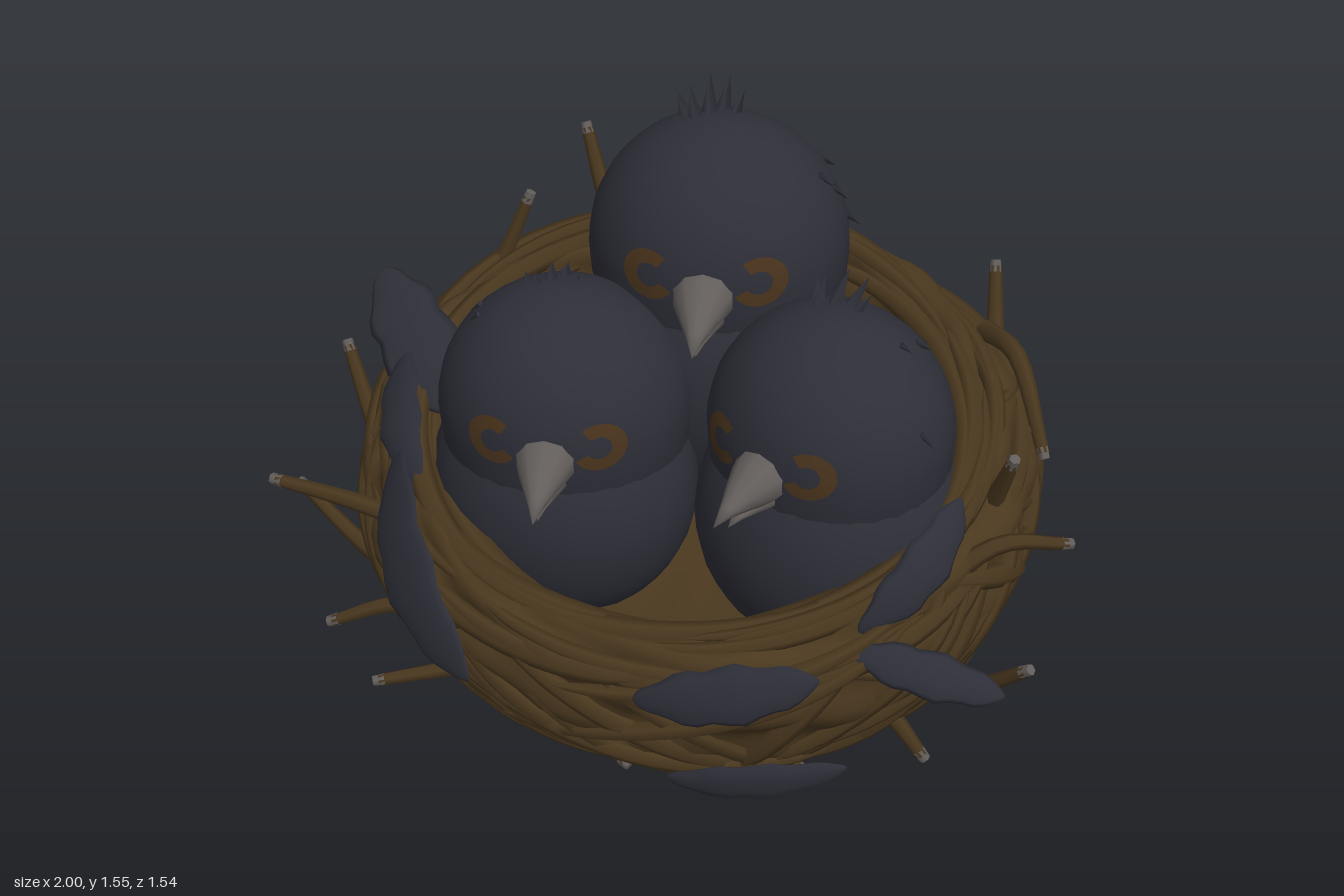
import * as THREE from 'three';
import { mergeVertices } from 'three/addons/utils/BufferGeometryUtils.js';

const mat = (name, color, side = THREE.FrontSide) =>
  Object.assign(new THREE.MeshStandardMaterial({ color, side }), { name });
const V = (x, y, z) => new THREE.Vector3(x, y, z);

export function createModel() {
  const plumage = mat('dark plumage', 0x2d2e37);
  const wood = mat('brown twig', 0x49371e, THREE.DoubleSide);
  const horn = mat('grey beak', 0x625d5b);
  const iris = mat('amber eye', 0x49331c);

  let seed = 7;
  const rnd = (a = 0, b = 1) => {
    seed = (seed * 16807) % 2147483647;
    return a + (b - a) * (seed / 2147483647);
  };
  const model = new THREE.Group();
  const add = (parent, name, geo, material) => {
    const m = new THREE.Mesh(geo, material);
    m.name = name;
    parent.add(m);
    return m;
  };
  // Move every vertex by a rule, then smooth the surface again
  const warp = (geo, rule) => {
    const p = geo.attributes.position, v = V(0, 0, 0);
    for (let i = 0; i < p.count; i++) {
      rule(v.fromBufferAttribute(p, i));
      p.setXYZ(i, v.x, v.y, v.z);
    }
    geo.deleteAttribute('normal');
    geo.deleteAttribute('uv');
    const out = mergeVertices(geo, 1e-5);
    out.computeVertexNormals();
    return out;
  };
  // Tube whose radius runs along a taper function
  const branch = (points, radius, taper, seg) => {
    const curve = new THREE.CatmullRomCurve3(points);
    const geo = new THREE.TubeGeometry(curve, seg, radius, 6);
    const p = geo.attributes.position, v = V(0, 0, 0);
    for (let i = 0; i <= seg; i++) {
      const c = curve.getPointAt(i / seg), k = taper(i / seg);
      for (let j = 0; j <= 6; j++) {
        v.fromBufferAttribute(p, i * 7 + j).sub(c).multiplyScalar(k).add(c);
        p.setXYZ(i * 7 + j, v.x, v.y, v.z);
      }
    }
    return geo;
  };

  // Nest: a tilted bowl, its profile running from underside over the rim to the floor
  const nest = new THREE.Group();
  nest.name = 'nest';
  nest.position.set(0.05, 0.55, 0);
  nest.rotation.x = 0.367;
  model.add(nest);
  const profile = new THREE.SplineCurve([
    [0, -0.46], [0.25, -0.45], [0.45, -0.395], [0.61, -0.29], [0.71, -0.12], [0.745, 0.08], [0.71, 0.22],
    [0.635, 0.285], [0.57, 0.23], [0.51, 0.07], [0.38, -0.07], [0, -0.11],
  ].map(([r, u]) => new THREE.Vector2(r, u)));
  const surf = (a, t, off) => {
    const p = profile.getPoint(t), d = profile.getTangent(t);
    const r = p.x + d.y * off, u = p.y - d.x * off;
    return V(Math.sin(a) * r * 1.11, u, Math.cos(a) * r - 0.03);
  };
  const rows = 60;
  const rings = Array.from({ length: rows + 1 }, (_, i) => new THREE.Vector2(1, i));
  add(nest, 'bowl', warp(new THREE.LatheGeometry(rings, 96), (v) => {
    const a = Math.atan2(v.x, v.z), t = v.y / rows;
    const fade = Math.min(1, 2.2 * profile.getPoint(t).x ** 2);
    v.copy(surf(a, t, fade * (0.012 * Math.sin(9 * a + 62 * t) + 0.007 * Math.sin(14 * a - 47 * t))));
  }), wood);

  // Woven strands, half sunk into the underside, wall and rim
  const strand = (a, da, t, dt, r, off) => {
    const pts = [], wob = rnd(0, 6);
    for (let i = 0; i <= 7; i++) {
      const s = i / 7;
      pts.push(surf(a + da * s, t + dt * s, off + 0.008 * Math.sin(wob + s * 7)));
    }
    add(nest, 'strand', branch(pts, r, (s) => 0.1 + 0.9 * Math.sqrt(Math.max(0, Math.sin(Math.PI * s))), 22), wood);
  };
  for (let i = 0; i < 110; i++) {
    const a = (i / 110) * Math.PI * 2 + rnd(-0.1, 0.1);
    const rise = rnd(0.14, 0.32) * (Math.sin(a) > 0 ? 1 : -1) * (rnd() < 0.85 ? 1 : -1);
    strand(a, rnd(0.6, 1.2), rnd(0.3, 0.46) - rise / 2, rise, rnd(0.024, 0.036), -0.006);
  }
  for (let i = 0; i < 28; i++)
    strand(rnd(0, 6.28), rnd(1, 2.2), rnd(0.53, 0.74), rnd(-0.08, 0.08), rnd(0.022, 0.034), -0.004);
  for (let i = 0; i < 24; i++)
    strand(rnd(0, 6.28), rnd(0.8, 1.6), rnd(0.1, 0.24), rnd(-0.04, 0.08), rnd(0.026, 0.036), -0.014);
  // Long strands cross the front
  strand(-0.4, 1.3, 0.4, 0.16, 0.026, 0.012);
  strand(-0.8, 1.5, 0.48, -0.14, 0.026, 0.012);
  strand(-0.2, 1.1, 0.52, 0.06, 0.026, 0.012);

  // Loose twigs poking out, bowed upward in the middle, each with a pale broken end
  const twig = (from, to, bow) => {
    const a = V(...from), tip = V(...to), mid = a.clone().lerp(tip, 0.5);
    mid.y += bow;
    add(model, 'twig', branch([a, mid, tip], 0.028, (s) => 1 - 0.45 * s, 10), wood);
    const end = add(model, 'twigEnd', new THREE.CylinderGeometry(0.014, 0.0165, 0.03, 6), horn);
    end.position.copy(tip);
    end.quaternion.setFromUnitVectors(V(0, 1, 0), tip.sub(mid).normalize());
  };
  twig([-0.6, 0.36, 0.3], [-0.98, 0.45, 0.08], -0.02);
  twig([-0.5, 0.62, 0.4], [-0.92, 0.66, 0.35], 0.01);
  twig([-0.72, 0.56, 0.1], [-0.87, 0.82, -0.04], -0.02);
  twig([-0.5, 0.32, 0.32], [-0.8, 0.26, 0.37], 0.03);
  twig([-0.32, 0.2, 0.32], [-0.66, 0.15, 0.44], 0.0);
  twig([-0.62, 0.82, -0.3], [-0.48, 1.13, -0.36], -0.02);
  twig([-0.28, 0.95, -0.5], [-0.4, 1.21, -0.62], -0.02);
  twig([0.74, 0.78, -0.32], [0.7, 1.03, -0.48], -0.01);
  twig([0.7, 0.92, -0.35], [0.89, 0.76, -0.08], 0.1);
  twig([0.68, 0.62, 0.36], [0.98, 0.68, 0.16], 0.07);
  twig([0.68, 0.22, 0.22], [0.93, 0.43, 0.34], -0.02);
  twig([0.52, 0.36, 0.4], [0.71, 0.19, 0.42], 0.03);
  twig([0.78, 0.68, 0.1], [0.84, 0.9, 0.18], 0);
  twig([0.12, 0.12, 0.32], [0.42, 0.03, 0.37], 0);
  twig([-0.25, 0.12, 0.33], [-0.02, 0.02, 0.44], 0);

  // Loose feathers: pointed leaves between two points, bulging toward their facing side
  const feather = (from, to, facing, width, bulge) => {
    const a = V(...from), b = V(...to), len = a.distanceTo(b);
    const geo = warp(new THREE.SphereGeometry(1, 10, 18).rotateZ(Math.PI / 2), (v) => {
      const x = v.x, w = Math.sqrt(Math.max(0, 1 - x * x)) * 0.35 + 0.65;
      v.set(x * len / 2, v.y * w * width / 2 * (1 + 0.1 * Math.sin(11 * x)), v.z * 0.018 + bulge * (1 - x * x));
    });
    const X = b.clone().sub(a).normalize();
    const Y = V(...facing).cross(X).normalize(), Z = X.clone().cross(Y);
    const m = add(model, 'feather', geo, plumage);
    m.quaternion.setFromRotationMatrix(new THREE.Matrix4().makeBasis(X, Y, Z));
    m.position.copy(a).add(b).multiplyScalar(0.5);
  };
  feather([-0.8, 1.0, -0.13], [-0.52, 0.78, 0.14], [-0.3, 0.8, 0.5], 0.2, 0.02);
  feather([-0.68, 0.88, 0.04], [-0.55, 0.7, 0.36], [-0.6, 0.7, 0.4], 0.14, 0.04);
  feather([-0.62, 0.76, 0.28], [-0.31, 0.46, 0.73], [-0.6, 0.35, 0.7], 0.2, 0.08);
  feather([0.09, 0.51, 0.755], [0.5, 0.59, 0.68], [0.2, 0.2, 1], 0.15, 0.03);
  feather([0.16, 0.27, 0.73], [0.57, 0.33, 0.66], [0.25, -0.1, 1], 0.11, 0.03);
  feather([0.54, 0.59, 0.56], [0.9, 0.51, 0.54], [0.1, 0.6, 0.8], 0.11, 0.02);
  feather([0.56, 0.62, 0.53], [0.74, 0.85, 0.28], [0.6, 0.4, 0.6], 0.13, 0.05);

  // Chicks: round head with full cheeks, plump body, beak, eye rings and a crest
  const R = V(0.312, 0.318, 0.288);
  const spike = (head, base, dir, len, wide) => {
    const d = dir.normalize();
    const m = add(head, 'crestFeather', new THREE.ConeGeometry(wide, len, 4), plumage);
    m.quaternion.setFromUnitVectors(V(0, 1, 0), d);
    m.position.copy(base).addScaledVector(d, len * 0.35);
  };
  const beakPart = (head, name, r, flat, len, y, droop) => {
    const geo = new THREE.ConeGeometry(r, len, 10, 5).rotateX(Math.PI / 2);
    const m = add(head, name, warp(geo, (v) => {
      const s = v.z / len + 0.5;
      v.x *= 1 + 0.7 * s * (1 - s);
      v.y = v.y * flat * (1 + 1.3 * s * (1 - s)) - droop * s * s;
    }), horn);
    m.position.set(0, y, 0.215 + len / 2);
  };
  const chick = (name, pos, yaw, size, crest, bodyPos, bodySize) => {
    const g = new THREE.Group();
    g.name = name;
    model.add(g);
    const body = add(g, 'body', new THREE.SphereGeometry(1, 26, 18), plumage);
    body.position.set(...bodyPos);
    body.scale.set(...bodySize);
    const head = new THREE.Group();
    head.name = 'head';
    head.position.set(...pos);
    head.rotation.y = yaw;
    head.scale.setScalar(size);
    g.add(head);
    add(head, 'skull', warp(new THREE.SphereGeometry(1, 32, 24), (v) => {
      const cheek = 1 + 0.14 * Math.max(0, -v.y - 0.15);
      v.set(v.x * R.x * cheek, v.y * R.y, v.z * R.z * cheek);
    }), plumage);
    beakPart(head, 'upperBeak', 0.088, 0.85, 0.235, 0.0, 0.06);
    beakPart(head, 'lowerBeak', 0.07, 0.6, 0.18, -0.05, 0.04);
    for (const s of [-1, 1]) {
      // Open ring clinging to the skull
      const ring = new THREE.RingGeometry(0.028, 0.06, 18, 2, s > 0 ? -2.6 : 0.9, 4.84);
      add(head, 'eyeRing', warp(ring, (v) => {
        v.x = v.x * 1.05 + s * 0.128;
        v.y += 0.04;
        v.z = R.z * Math.sqrt(1 - (v.x / R.x) ** 2 - (v.y / R.y) ** 2) + 0.006;
      }), iris);
    }
    for (let i = -2; i <= 2; i++)
      spike(head, V(i * 0.025 - 0.03, 0.3 - Math.abs(i) * 0.006, -0.03 - 0.03 * (i % 2)),
        V(i * 0.2 - 0.1, 0.75, -0.75), crest * (1 - Math.abs(i) * 0.13), 0.026);
    for (let i = 0; i < 6; i++) {
      const a = rnd(1.3, 5), h = rnd(0.2, 0.85), c = Math.sqrt(1 - h * h);
      const n = V(Math.sin(a) * c, h, Math.cos(a) * c);
      spike(head, n.clone().multiply(R), V(n.x * 0.6, n.y * 0.4 - 0.7, n.z * 0.6 - 0.2), 0.05, 0.01);
    }
  };
  chick('backChick', [0.05, 1.16, -0.22], 0.1, 1.02, 0.14, [0.05, 0.88, -0.2], [0.335, 0.4, 0.3]);
  chick('rightChick', [-0.245, 0.87, 0.13], 0.12, 0.98, 0.07, [-0.25, 0.64, 0.13], [0.33, 0.36, 0.3]);
  chick('leftChick', [0.4, 0.88, 0.1], -0.45, 0.97, 0.13, [0.41, 0.64, 0.11], [0.33, 0.36, 0.3]);
  return model;
}
